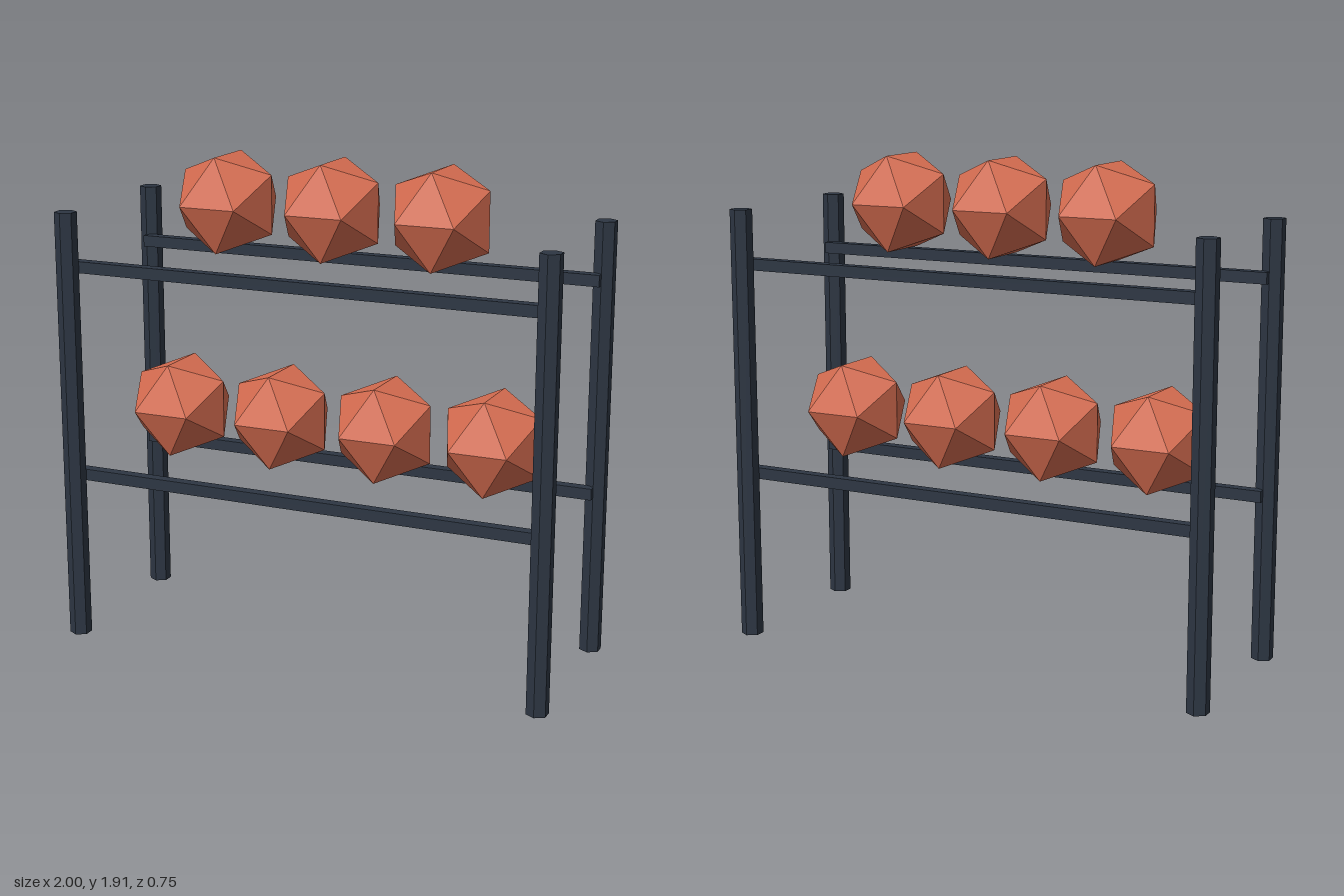
import * as THREE from 'three';

export function createModel() {
  const group = new THREE.Group();
  const steel = new THREE.MeshStandardMaterial({ color: 0x2d3643, flatShading: true });
  steel.name = 'dark steel';
  const clay = new THREE.MeshStandardMaterial({ color: 0xd56c50, flatShading: true });
  clay.name = 'terracotta';

  const add = (name, geometry, material, x, y, z) => {
    const mesh = new THREE.Mesh(geometry, material);
    mesh.name = name;
    mesh.position.set(x, y, z);
    group.add(mesh);
  };

  const postHeight = 1.707;
  const postGeometry = new THREE.CylinderGeometry(0.0432, 0.0432, postHeight, 6);
  const railGeometry = new THREE.BoxGeometry(1.925, 0.045, 0.044);
  const ballGeometry = new THREE.IcosahedronGeometry(0.2165, 0).rotateY(Math.PI / 2);

  // Hexagonal posts and two rails on each side of the rack
  for (const side of [1, -1]) {
    const face = side > 0 ? 'front' : 'back';
    add(face + 'LeftPost', postGeometry, steel, 0.9625, postHeight / 2, side * 0.33);
    add(face + 'RightPost', postGeometry, steel, -0.9625, postHeight / 2, side * 0.33);
    add(face + 'LowerRail', railGeometry, steel, 0, 0.658, side * 0.283);
    add(face + 'UpperRail', railGeometry, steel, 0, 1.49, side * 0.283);
  }

  // Rows of faceted balls above the rails
  const rows = [
    { name: 'lowerBall', count: 4, y: 0.9 },
    { name: 'upperBall', count: 3, y: 1.73 },
  ];
  for (const { name, count, y } of rows) {
    for (let i = 0; i < count; i++) {
      add(name + (i + 1), ballGeometry, clay, (i - (count - 1) / 2) * 0.4375, y, 0);
    }
  }
  return group;
}
